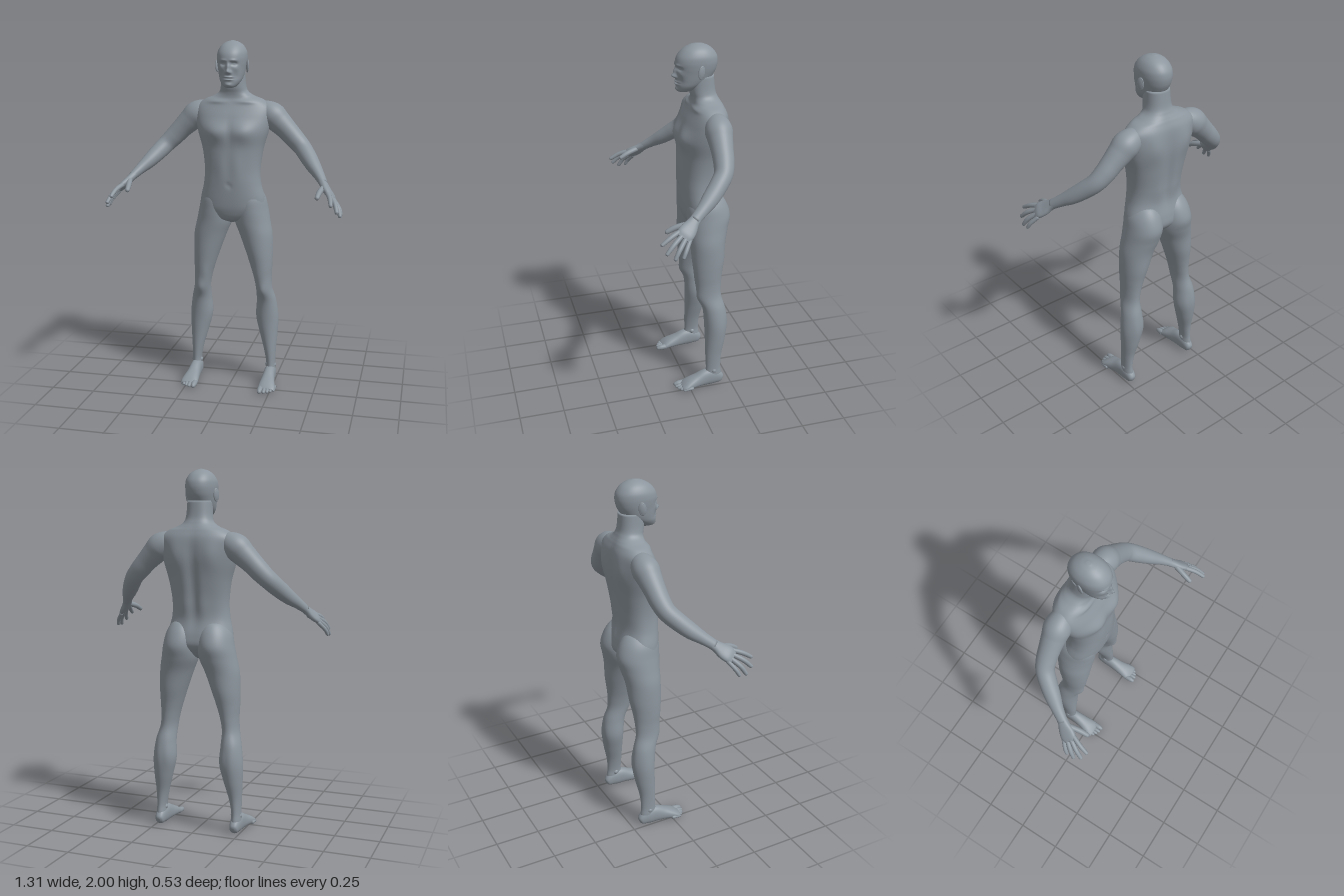
import * as THREE from 'three';

const V = (x, y, z) => new THREE.Vector3(x, y, z);

// Skins rows of [x, y, z, a, b]: b is the half size along `side`, a across it.
// With `level` every section stays horizontal; `power` above 2 squares the section.
function loft(rows, { side = V(1, 0, 0), level = false, power = 2, around = 32, along = 40 } = {}) {
  const path = new THREE.CatmullRomCurve3(rows.map(r => V(r[0], r[1], r[2])), false, 'catmullrom');
  const size = new THREE.CatmullRomCurve3(rows.map(r => V(r[3], r[4], 0)), false, 'catmullrom');
  const pos = [], index = [];
  const bend = c => Math.sign(c) * Math.abs(c) ** (2 / power);
  for (let i = 0; i <= along; i++) {
    const c = path.getPoint(i / along), s = size.getPoint(i / along);
    const t = level ? V(0, 1, 0) : path.getTangent(i / along);
    const v = side.clone().addScaledVector(t, -side.dot(t)).normalize();
    const u = v.clone().cross(t);
    for (let j = 0; j < around; j++) {
      const q = j / around * Math.PI * 2;
      const p = c.clone().addScaledVector(u, bend(Math.cos(q)) * s.x).addScaledVector(v, bend(Math.sin(q)) * s.y);
      pos.push(p.x, p.y, p.z);
      if (i === along) continue;
      const k = i * around + j, n = i * around + (j + 1) % around;
      index.push(k, n, k + around, n, n + around, k + around);
    }
  }
  // close both ends with fans
  const first = pos.length / 3, top = along * around;
  pos.push(...rows[0].slice(0, 3), ...rows[rows.length - 1].slice(0, 3));
  for (let j = 0; j < around; j++) {
    const n = (j + 1) % around;
    index.push(first, n, j, first + 1, top + j, top + n);
  }
  const g = new THREE.BufferGeometry();
  g.setAttribute('position', new THREE.Float32BufferAttribute(pos, 3));
  g.setIndex(index);
  g.computeVertexNormals();
  return g;
}

// Upright loft from rows of [y, front z, back z, inner x, outer x]
const upright = (rows, options) => loft(rows.map(([y, f, b, x0, x1]) =>
  [(x0 + x1) / 2, y, (f + b) / 2, (f - b) / 2, (x1 - x0) / 2]), { level: true, ...options });

// Pushes soft bumps [x, y, z, width, height, push] along z, on both sides of the body
function mold(g, bumps) {
  const p = g.attributes.position;
  for (let i = 0; i < p.count; i++) {
    let dz = 0;
    for (const [x, y, z, w, h, push] of bumps)
      dz += push * Math.exp(-(((Math.abs(p.getX(i)) - x) / w) ** 2) - ((p.getY(i) - y) / h) ** 2 - ((p.getZ(i) - z) / 0.06) ** 2);
    p.setZ(i, p.getZ(i) + dz);
  }
  g.computeVertexNormals();
  return g;
}

function mirror(g) {
  const m = g.clone().scale(-1, 1, 1), ix = m.index.array;
  for (let i = 0; i < ix.length; i += 3) [ix[i], ix[i + 1]] = [ix[i + 1], ix[i]];
  return m;
}

// Finger or toe: a tapering tube through three points with a rounded tip
function digit(a, b, c, r) {
  const end = V(...c), dir = end.clone().sub(V(...b)).normalize();
  const back = d => end.clone().addScaledVector(dir, -d * r).toArray();
  return loft([[...a, r, r], [...b, r * 0.97, r * 0.97], [...back(1), r * 0.82, r * 0.82],
    [...back(0.3), r * 0.58, r * 0.58], [...c, r * 0.1, r * 0.1]], { side: V(0.45, -0.57, -0.7), around: 14, along: 20 });
}

export function createModel() {
  const skin = new THREE.MeshStandardMaterial({ color: 0x8c959d });
  skin.name = 'grey skin';
  const body = new THREE.Group();
  body.name = 'figure';
  const add = (name, g) => {
    const m = new THREE.Mesh(g, skin);
    m.name = name;
    body.add(m);
  };
  const addPair = (name, g) => {
    add('left' + name, g);
    add('right' + name, mirror(g));
  };

  // Torso and neck in one skin, with chest, belly, shoulder blades and spine
  const torso = upright([
    [0.975, -0.08, -0.15, -0.02, 0.02], [1.0, -0.035, -0.19, -0.1, 0.1], [1.05, -0.014, -0.232, -0.18, 0.18],
    [1.11, -0.005, -0.232, -0.186, 0.186], [1.2, 0, -0.212, -0.165, 0.165], [1.29, 0, -0.22, -0.16, 0.16],
    [1.4, 0, -0.238, -0.175, 0.175], [1.5, 0.002, -0.25, -0.203, 0.203], [1.58, -0.025, -0.25, -0.218, 0.218],
    [1.635, -0.05, -0.245, -0.212, 0.212], [1.672, -0.066, -0.232, -0.17, 0.17], [1.692, -0.07, -0.222, -0.12, 0.12],
    [1.715, -0.068, -0.21, -0.084, 0.084], [1.75, -0.06, -0.198, -0.071, 0.071], [1.83, -0.055, -0.19, -0.066, 0.066],
  ], { power: 2.3, around: 96, along: 110 });
  add('torso', mold(torso, [
    [0.08, 1.5, 0, 0.06, 0.05, 0.016], [0, 1.5, 0, 0.018, 0.08, -0.004],
    [0.045, 1.3, 0, 0.035, 0.09, 0.005], [0, 1.2, 0, 0.012, 0.014, -0.006],
    [0.1, 1.55, -0.24, 0.05, 0.08, -0.012], [0, 1.4, -0.24, 0.028, 0.2, 0.016],
    [0.05, 1.25, -0.21, 0.035, 0.08, -0.006], [0.09, 1.665, -0.06, 0.06, 0.012, 0.008],
  ]));

  // Head with modelled face
  const head = upright([
    [1.745, -0.005, -0.06, -0.018, 0.018], [1.753, 0.01, -0.08, -0.036, 0.036], [1.78, 0.014, -0.12, -0.057, 0.057],
    [1.81, 0.016, -0.168, -0.068, 0.068], [1.85, 0.016, -0.196, -0.076, 0.076], [1.88, 0.018, -0.207, -0.081, 0.081],
    [1.91, 0.018, -0.21, -0.083, 0.083], [1.94, 0.007, -0.203, -0.079, 0.079], [1.97, -0.02, -0.18, -0.063, 0.063],
    [1.99, -0.055, -0.147, -0.038, 0.038], [2.0, -0.09, -0.112, -0.008, 0.008],
  ], { power: 2.15, around: 128, along: 110 });
  add('head', mold(head, [
    [0, 1.834, 0.02, 0.011, 0.012, 0.022], [0, 1.857, 0.02, 0.01, 0.022, 0.014], [0.013, 1.83, 0.015, 0.007, 0.007, 0.008],
    [0.031, 1.876, 0.01, 0.017, 0.01, -0.015], [0.031, 1.876, 0.01, 0.01, 0.005, 0.006],
    [0.028, 1.895, 0.015, 0.02, 0.007, 0.005], [0, 1.804, 0.015, 0.022, 0.005, 0.009],
    [0, 1.797, 0.015, 0.022, 0.003, -0.007], [0, 1.79, 0.015, 0.019, 0.005, 0.008],
    [0, 1.762, 0.01, 0.02, 0.01, 0.007], [0.045, 1.85, 0, 0.015, 0.014, 0.004], [0.04, 1.81, 0, 0.015, 0.02, -0.005],
  ]));

  // Ears: a flat shell with a raised rim
  const place = g => g.rotateY(0.35).rotateX(-0.12).translate(0.085, 1.862, -0.1);
  addPair('Ear', place(new THREE.SphereGeometry(1, 20, 14).scale(0.008, 0.035, 0.02)));
  addPair('EarRim', place(new THREE.TorusGeometry(0.8, 0.2, 8, 28).rotateY(Math.PI / 2).scale(0.022, 0.037, 0.021)));

  // Legs, from ankle up into the buttock
  const leg = upright([
    [0.03, -0.11, -0.19, 0.202, 0.25], [0.07, -0.1, -0.195, 0.198, 0.254], [0.12, -0.102, -0.19, 0.199, 0.252],
    [0.2, -0.1, -0.195, 0.184, 0.255], [0.3, -0.1, -0.216, 0.156, 0.262], [0.4, -0.098, -0.226, 0.133, 0.265],
    [0.5, -0.088, -0.218, 0.138, 0.252], [0.58, -0.06, -0.198, 0.138, 0.232], [0.65, -0.052, -0.198, 0.125, 0.228],
    [0.72, -0.043, -0.206, 0.104, 0.231], [0.8, -0.035, -0.22, 0.077, 0.233], [0.9, -0.03, -0.23, 0.04, 0.23],
    [0.98, -0.025, -0.25, 0.008, 0.215], [1.05, -0.02, -0.265, 0.002, 0.201], [1.12, -0.02, -0.245, 0.005, 0.185],
    [1.17, -0.04, -0.21, 0.03, 0.155], [1.19, -0.08, -0.17, 0.06, 0.12],
  ], { around: 48, along: 110 });
  addPair('Leg', mold(leg, [
    [0.183, 0.57, -0.06, 0.026, 0.035, 0.006], [0.215, 0.42, -0.22, 0.025, 0.08, -0.005],
    [0.16, 0.42, -0.22, 0.025, 0.07, -0.005], [0.15, 0.66, -0.05, 0.02, 0.05, 0.004],
  ]));

  // Feet, from heel to ball, then toes and ankle bones
  addPair('Foot', loft([
    [0.225, 0.03, -0.204, 0.012, 0.01], [0.225, 0.035, -0.192, 0.03, 0.024], [0.225, 0.05, -0.15, 0.049, 0.032],
    [0.225, 0.052, -0.105, 0.051, 0.034], [0.226, 0.04, -0.05, 0.039, 0.039], [0.229, 0.029, 0, 0.028, 0.047],
    [0.231, 0.02, 0.03, 0.019, 0.05], [0.231, 0.015, 0.048, 0.011, 0.042],
  ], { power: 2.3 }));
  [[0.197, 0.088, 0.0165], [0.222, 0.086, 0.012], [0.241, 0.076, 0.0115], [0.258, 0.064, 0.011], [0.273, 0.048, 0.0105]]
    .forEach(([x, z, r], i) => addPair('Toe' + (i + 1), digit([x, 0.019, z - 0.06], [x, 0.017, z - 0.03], [x, 0.012, z], r)));
  addPair('Ankle', new THREE.SphereGeometry(1, 20, 14).scale(0.033, 0.022, 0.022).translate(0.225, 0.1, -0.145));

  // Arms, from inside the shoulder to the wrist
  const across = V(0.45, -0.57, -0.7);
  addPair('Arm', loft([
    [0.14, 1.615, -0.16, 0.04, 0.04], [0.175, 1.608, -0.157, 0.062, 0.062], [0.22, 1.584, -0.154, 0.074, 0.073],
    [0.26, 1.548, -0.151, 0.067, 0.066], [0.305, 1.505, -0.147, 0.059, 0.059], [0.35, 1.458, -0.141, 0.055, 0.055],
    [0.395, 1.412, -0.125, 0.05, 0.05], [0.435, 1.366, -0.082, 0.047, 0.048], [0.475, 1.32, -0.03, 0.04, 0.044],
    [0.51, 1.283, 0.02, 0.03, 0.034], [0.543, 1.245, 0.073, 0.022, 0.028],
  ], { side: across, around: 40, along: 70 }));

  // Hands: palm, four fingers and a thumb
  addPair('Palm', loft([
    [0.53, 1.26, 0.052, 0.022, 0.028], [0.547, 1.238, 0.08, 0.021, 0.031], [0.566, 1.215, 0.107, 0.02, 0.042],
    [0.585, 1.197, 0.132, 0.018, 0.045], [0.598, 1.182, 0.152, 0.011, 0.038],
  ], { side: across, power: 2.4 }));
  const fingers = {
    Index: [[0.57, 1.213, 0.15], [0.592, 1.192, 0.208], [0.605, 1.158, 0.265]],
    Middle: [[0.584, 1.198, 0.143], [0.618, 1.163, 0.2], [0.636, 1.118, 0.247]],
    Ring: [[0.595, 1.184, 0.13], [0.632, 1.14, 0.174], [0.65, 1.09, 0.206]],
    Little: [[0.602, 1.172, 0.113], [0.636, 1.13, 0.143], [0.651, 1.092, 0.163]],
  };
  for (const [name, [a, b, c]] of Object.entries(fingers)) addPair(name + 'Finger', digit(a, b, c, name === 'Little' ? 0.0115 : 0.013));
  addPair('Thumb', digit([0.548, 1.235, 0.095], [0.532, 1.215, 0.165], [0.523, 1.187, 0.222], 0.0155));

  return body;
}
